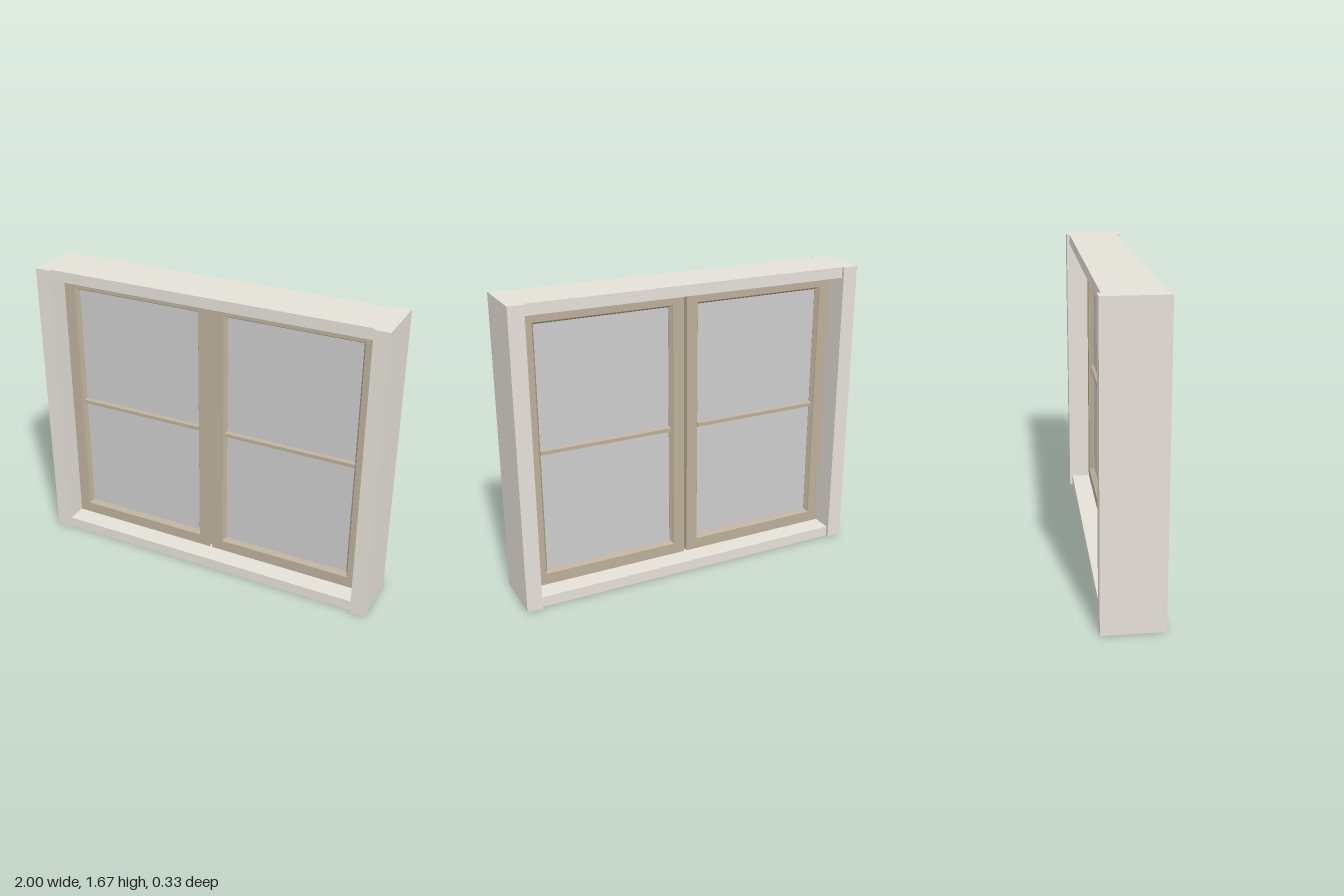
import * as THREE from 'three';

const paint = (color) => new THREE.MeshStandardMaterial({ color });
const frameMat = paint(0xe4e0d8);
const sashMat = paint(0xbbaf9a);
const glassMat = paint(0xcccccc);

function box(name, mat, x0, x1, y0, y1, depth) {
  const mesh = new THREE.Mesh(new THREE.BoxGeometry(x1 - x0, y1 - y0, depth), mat);
  mesh.name = name;
  mesh.position.set((x0 + x1) / 2, (y0 + y1) / 2, 0);
  return mesh;
}

// Sweeps a closed [inset, z] profile round a rectangle with mitred corners
function mitredFrame(w, h, profile) {
  const pos = [];
  const corners = [[-1, -1], [1, -1], [1, 1], [-1, 1]];
  const at = ([sx, sy], [inset, z]) => [sx * (w / 2 - inset), sy * (h / 2 - inset), z];
  corners.forEach((a, i) => {
    const b = corners[(i + 1) % 4];
    profile.forEach((p, j) => {
      const q = profile[(j + 1) % profile.length];
      const [A, B, C, D] = [at(a, p), at(b, p), at(b, q), at(a, q)];
      pos.push(...A, ...B, ...C, ...A, ...C, ...D);
    });
  });
  const geo = new THREE.BufferGeometry();
  geo.setAttribute('position', new THREE.Float32BufferAttribute(pos, 3));
  geo.computeVertexNormals();
  return geo;
}

// One sash: mitred frame with sloped glazing beads, glass and a glazing bar
function makeSash(name, cx) {
  const w = 0.9, h = 1.538, cy = 0.834;
  const sash = new THREE.Group();
  sash.name = name;
  sash.position.set(cx, cy, 0);

  const profile = [[0, -0.04], [0, 0.04], [0.064, 0.04], [0.067, 0.032],
    [0.079, 0.012], [0.079, -0.012], [0.067, -0.032], [0.064, -0.04]];
  const border = new THREE.Mesh(mitredFrame(w, h, profile), sashMat);
  border.name = 'sashFrame';
  sash.add(border);

  const gw = w / 2 - 0.075, gh = h / 2 - 0.075;
  sash.add(box('glass', glassMat, -gw, gw, -gh, gh, 0.02));

  // Glazing bar with chamfered edges, running along x
  const bar = new THREE.Shape();
  [[-0.03, -0.01], [-0.03, 0.01], [-0.012, 0.018], [0.012, 0.018],
    [0.03, 0.01], [0.03, -0.01], [0.012, -0.018], [-0.012, -0.018]]
    .forEach(([z, y], i) => (i ? bar.lineTo(z, y) : bar.moveTo(z, y)));
  const barGeo = new THREE.ExtrudeGeometry(bar, { depth: 2 * gw, bevelEnabled: false });
  barGeo.translate(0, 0, -gw).rotateY(Math.PI / 2);
  const barMesh = new THREE.Mesh(barGeo, sashMat);
  barMesh.name = 'glazingBar';
  sash.add(barMesh);
  return sash;
}

export function createModel() {
  const model = new THREE.Group();
  model.name = 'window';

  // Outer frame: deep posts with slightly shallower rails between them
  model.add(
    box('rightPost', frameMat, -1, -0.915, 0, 1.667, 0.33),
    box('leftPost', frameMat, 0.915, 1, 0, 1.667, 0.33),
    box('sill', frameMat, -0.915, 0.915, 0, 0.06, 0.296),
    box('head', frameMat, -0.915, 0.915, 1.607, 1.667, 0.296),
  );

  // Pair of sashes with a narrow gap in the middle
  model.add(makeSash('rightSash', -0.459), makeSash('leftSash', 0.459));
  return model;
}
